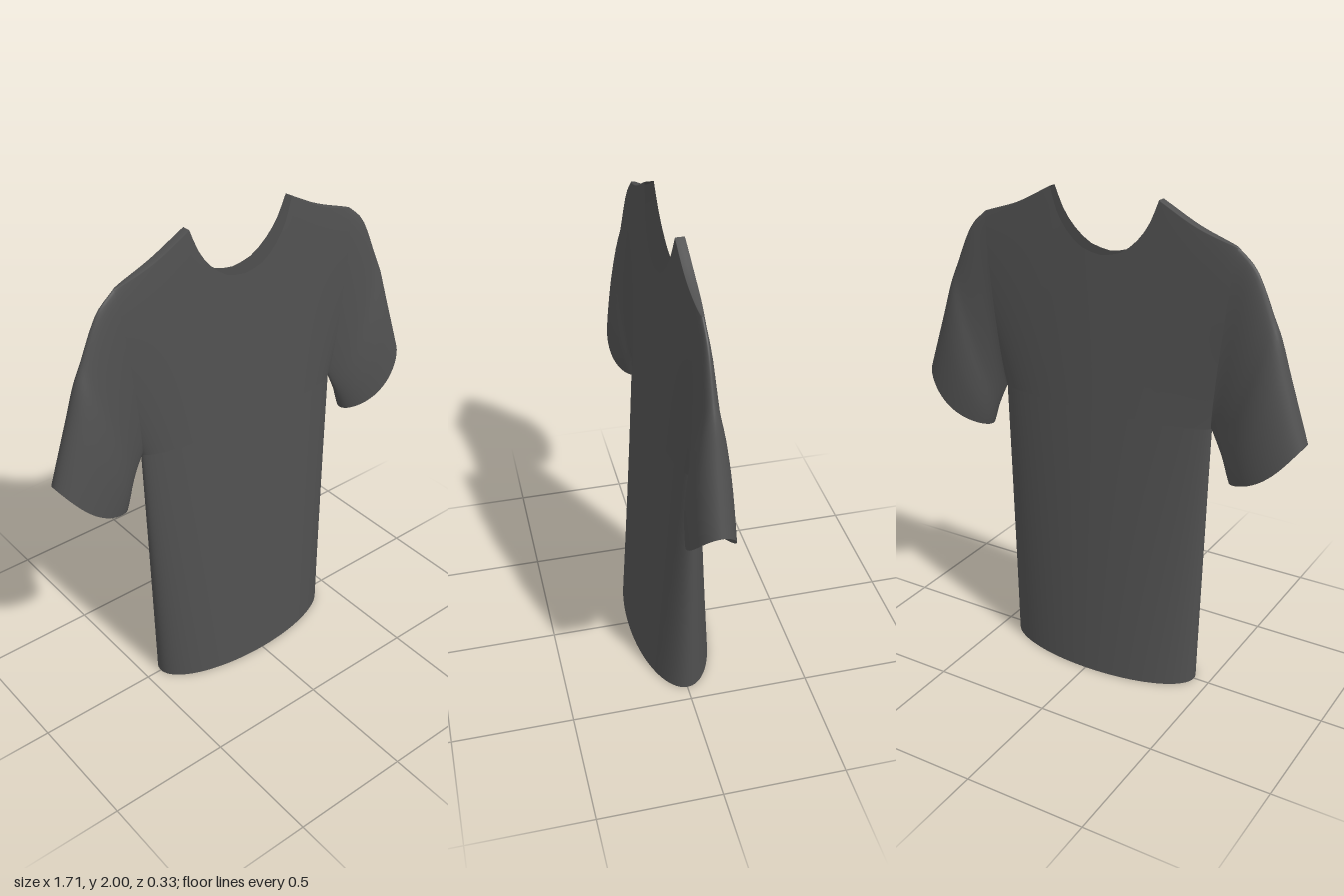
import * as THREE from 'three';
import { mergeVertices } from 'three/addons/utils/BufferGeometryUtils.js';

const COLS = 24, ROWS = 24;
const ARMPIT_Y = 1.15, ARMPIT_X = 0.47, HEM_X = 0.433;
const lerp = THREE.MathUtils.lerp;
const spline = pts => new THREE.CatmullRomCurve3(pts.map(([x, y]) => new THREE.Vector3(x, y, 0)), false, 'centripetal');

// Outline curves of the wearer's left half
const neckline = spline([[0, 1.77], [0.08, 1.787], [0.15, 1.84], [0.2, 1.91], [0.235, 2]]);
const shoulder = spline([[0.235, 2], [0.39, 1.92], [0.55, 1.865]]);
const outerSleeve = spline([[0.55, 1.865], [0.62, 1.8], [0.7, 1.63], [0.73, 1.56], [0.77, 1.43], [0.855, 1.17]]);
const underSleeve = spline([[ARMPIT_X, ARMPIT_Y], [0.52, 1.045], [0.555, 0.95]]);

// Front-to-back half depth: shrinks evenly from hem to collar
const depth = y => 0.165 - 0.0725 * y;
const oval = s => Math.sqrt(Math.max(0, 1 - (2 * s - 1) ** 2));
const easeEnds = t => (1 - Math.cos(Math.PI * t)) / 2;
const easeSide = t => Math.sin(t * Math.PI / 2);

// Lower torso: oval rings from hem to armpit
function torso(a, b) {
  const u = easeSide(a), y = ARMPIT_Y * b;
  return [lerp(HEM_X, ARMPIT_X, b) * u, y, depth(y) * Math.sqrt(Math.max(0, 1 - u * u))];
}

// Chest: rises from the armpit line to the neckline and shoulder
function chest(a, b) {
  const u = easeSide(a), v = easeEnds(b);
  const top = u < 0.5 ? neckline.getPoint(u * 2) : shoulder.getPoint(Math.min(1, u * 2 - 1));
  const y = lerp(ARMPIT_Y, top.y, v);
  const body = depth(y) * Math.sqrt(Math.max(0, 1 - u * u));
  return [lerp(ARMPIT_X * u, top.x, v), y, Math.hypot(body, 0.03 * oval(v) * u)];
}

// Sleeve: flares from the armhole to a curved open cuff
function sleeve(a, b) {
  const s = easeEnds(b);
  const p = underSleeve.getPoint(a).lerp(outerSleeve.getPoint(a), s);
  const sag = 0.035 * a * a * Math.sin(Math.PI * s);
  return [p.x + sag * 0.5, p.y - sag, lerp(0.03, 0.085, easeEnds(a)) * oval(s)];
}

// Narrow strip closing the top of the shoulder
function shoulderStrip(a, b) {
  const [x, y, z] = chest(lerp(1 / 3, 1, a), 1);
  return [x, y, z * (1 - b)];
}

// Adds a patch four times: left and right, front and back
function addPatch(out, fn, nu, nv) {
  for (const sx of [1, -1]) for (const sz of [1, -1]) {
    const at = (i, j) => {
      const [x, y, z] = fn(i / nu, j / nv);
      return [x * sx, y, z * sz];
    };
    for (let i = 0; i < nu; i++) for (let j = 0; j < nv; j++) {
      const p = at(i, j), q = at(i + 1, j), r = at(i + 1, j + 1), s = at(i, j + 1);
      out.push(...(sx * sz > 0 ? [p, q, r, p, r, s] : [p, r, q, p, s, r]).flat());
    }
  }
}

export function createModel() {
  const positions = [];
  addPatch(positions, torso, COLS, 12);
  addPatch(positions, chest, COLS, ROWS);
  addPatch(positions, sleeve, 18, ROWS);
  addPatch(positions, shoulderStrip, 16, 1);

  // Weld the patches so the cloth shades as one smooth surface
  let geometry = new THREE.BufferGeometry();
  geometry.setAttribute('position', new THREE.Float32BufferAttribute(positions, 3));
  geometry = mergeVertices(geometry, 1e-4);
  geometry.computeVertexNormals();

  const cloth = new THREE.MeshStandardMaterial({ color: 0x505050, side: THREE.DoubleSide });
  const shirt = new THREE.Mesh(geometry, cloth);
  shirt.name = 'shirtCloth';
  const group = new THREE.Group();
  group.name = 'shortSleevedShirt';
  group.add(shirt);
  return group;
}
